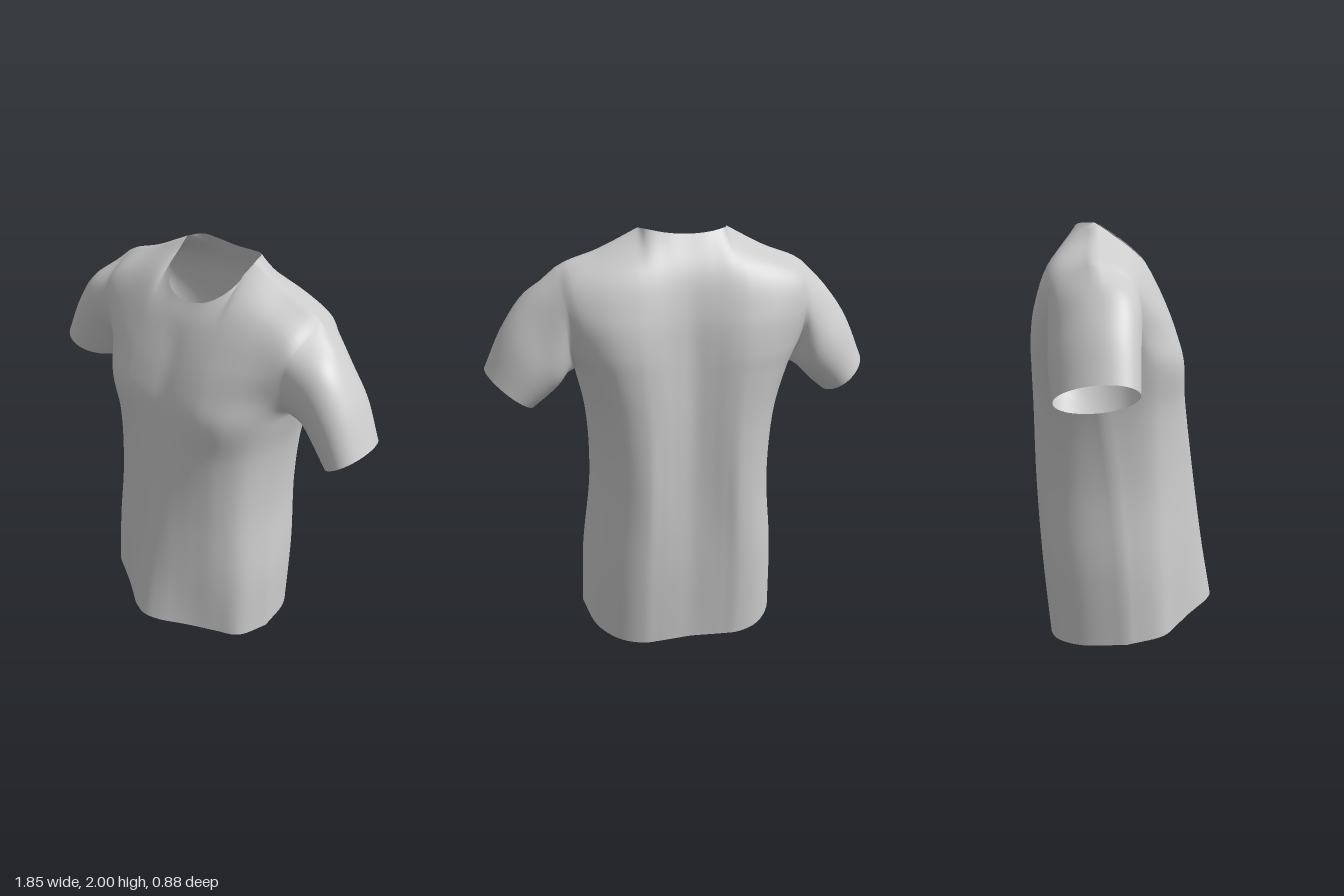
import * as THREE from 'three';
import { mergeGeometries, mergeVertices } from 'three/addons/utils/BufferGeometryUtils.js';

const SEG = 6;                 // subdivisions per control span
const ARMPIT = 4, TOP = 8;     // control row numbers
const NECK = 3, EDGE = 6;      // control column numbers
const V = (x, y, z) => new THREE.Vector3(x, y, z);
const flip = (p) => V(-p.x, p.y, p.z);
const spline = (pts, n = (pts.length - 1) * SEG) => new THREE.CatmullRomCurve3(pts).getPoints(n);

// Column positions as fractions of the half width, centre to side seam
const FR = [0, 0.17, 0.33, 0.48, 0.7, 0.9, 1];
const hemY = (z) => 0.05 + 0.135 * z;

// One control row: half width (or x list), height (number, list or rule), depths
function row(w, y, zs) {
  return zs.map((z, i) => V(
    Array.isArray(w) ? w[i] : w * FR[i],
    typeof y === 'function' ? y(z) : Array.isArray(y) ? y[i] : y, z));
}

const FRONT = [
  row(0.5, hemY, [0.44, 0.415, 0.365, 0.317, 0.255, 0.19, 0.02]),
  row(0.49, 0.4, [0.39, 0.373, 0.34, 0.305, 0.25, 0.17, 0]),
  row(0.45, 0.8, [0.335, 0.328, 0.308, 0.283, 0.235, 0.15, -0.04]),
  row(0.465, 1.15, [0.293, 0.292, 0.285, 0.27, 0.225, 0.13, -0.09]),
  row(0.51, 1.36, [0.272, 0.278, 0.28, 0.274, 0.235, 0.125, -0.12]),
  row(0.535, [1.49, 1.49, 1.49, 1.49, 1.49, 1.48, 1.47], [0.235, 0.242, 0.243, 0.235, 0.195, 0.115, 0.05]),
  row(0.55, 1.63, [0.18, 0.187, 0.187, 0.177, 0.15, 0.11, 0.085]),
  row([0, 0.1, 0.185, 0.24, 0.4, 0.52, 0.57], [1.74, 1.75, 1.785, 1.85, 1.82, 1.775, 1.73],
    [0.135, 0.13, 0.105, 0.055, 0.035, 0.04, 0.05]),
  row([0, 0.11, 0.187, 0.207, 0.39, 0.53, 0.585], [1.82, 1.842, 1.905, 2, 1.91, 1.86, 1.83],
    [0.09, 0.072, 0.0, -0.14, -0.13, -0.125, -0.12]),
];

const BACK = [
  row(0.5, hemY, [-0.36, -0.365, -0.37, -0.37, -0.325, -0.2, 0.02]),
  row(0.49, 0.4, [-0.383, -0.392, -0.402, -0.407, -0.36, -0.22, 0]),
  row(0.45, 0.8, [-0.388, -0.4, -0.42, -0.432, -0.385, -0.25, -0.04]),
  row(0.465, 1.15, [-0.39, -0.406, -0.428, -0.437, -0.4, -0.28, -0.09]),
  row(0.51, 1.36, [-0.386, -0.405, -0.43, -0.439, -0.41, -0.315, -0.12]),
  row(0.535, 1.47, [-0.383, -0.402, -0.427, -0.437, -0.415, -0.345, -0.26]),
  row(0.55, 1.63, [-0.375, -0.388, -0.405, -0.412, -0.4, -0.36, -0.32]),
  row([0, 0.1, 0.185, 0.25, 0.4, 0.52, 0.57], [1.82, 1.82, 1.83, 1.84, 1.82, 1.775, 1.73],
    [-0.335, -0.34, -0.343, -0.335, -0.318, -0.3, -0.28]),
  row([0, 0.1, 0.175, 0.207, 0.39, 0.53, 0.585], [1.978, 1.985, 1.998, 2, 1.91, 1.86, 1.83],
    [-0.246, -0.241, -0.212, -0.14, -0.13, -0.125, -0.12]),
];

// Armhole half: the side edge of a panel from armpit to shoulder point
const armhole = (panel) => spline(panel.slice(ARMPIT).map((r) => r[EDGE]));

// Grid of points to an indexed surface
function surface(rows, reversed) {
  const n = rows[0].length, index = [];
  for (let r = 0; r < rows.length - 1; r++) {
    for (let c = 0; c < n - 1; c++) {
      const a = r * n + c, b = a + 1, d = a + n, e = d + 1;
      if (reversed) index.push(a, d, b, b, d, e);
      else index.push(a, b, d, b, e, d);
    }
  }
  const g = new THREE.BufferGeometry().setFromPoints(rows.flat());
  g.setIndex(index);
  return g;
}

// Front or back panel, sharing side seams and shoulder seams with the other
function panelSurface(panel, reversed) {
  const columns = FR.map((_, i) => spline(panel.map((r) => r[i])));
  columns[EDGE] = [
    ...spline(panel.slice(0, ARMPIT + 1).map((r) => r[EDGE])),
    ...armhole(panel).slice(1),
  ];
  const mirrored = (half) => [...half.slice(1).reverse().map(flip), ...half];
  const rows = columns[0].map((_, k) => {
    const half = columns.map((c) => c[k]);
    if (k < TOP * SEG) return spline(mirrored(half));
    // top row: neckline with a corner at each shoulder seam
    const shoulder = spline(half.slice(NECK)).slice(1);
    const neckline = spline(mirrored(half.slice(0, NECK + 1)));
    return [...shoulder.map(flip).reverse(), ...neckline, ...shoulder];
  });
  return surface(rows, reversed);
}

// Sleeve stations: top x, y, bottom x, y, front z, back z
const SLEEVE = [
  [0.715, 1.71, 0.58, 1.325, 0.085, -0.315],
  [0.825, 1.565, 0.64, 1.265, 0.083, -0.305],
  [0.923, 1.36, 0.712, 1.205, 0.083, -0.28],
];

// Sleeve from the armhole loop out to the cuff, its section leaning backwards
function sleeveSurface(side) {
  const loop = [...armhole(FRONT), ...armhole(BACK).reverse().slice(1)];
  const n = loop.length - 1;
  const strips = loop.map((p, j) => {
    const a = (j / n) * Math.PI * 2, s = Math.sin(a), c = Math.cos(a) - 0.2 * s;
    const stations = SLEEVE.map(([tx, ty, bx, by, zf, zb]) => V(
      (tx + bx) / 2 + (bx - tx) / 2 * c,
      (ty + by) / 2 + (by - ty) / 2 * c,
      (zf + zb) / 2 + (zf - zb) / 2 * s - 0.02 * Math.cos(a)));
    return spline([p, ...stations]);
  });
  const rows = strips[0].map((_, k) => strips.map((st) => (side > 0 ? st[k] : flip(st[k]))));
  return surface(rows, side > 0);
}

export function createModel() {
  const cloth = new THREE.MeshStandardMaterial({ color: 0xcccccc, side: THREE.DoubleSide });
  cloth.name = 'light grey cloth';

  const parts = {
    frontPanel: panelSurface(FRONT, false),
    backPanel: panelSurface(BACK, true),
    leftSleeve: sleeveSurface(1),
    rightSleeve: sleeveSurface(-1),
  };

  // Weld the seams so the shading runs smoothly from part to part
  const welded = mergeVertices(mergeGeometries(Object.values(parts)), 1e-4);
  welded.computeVertexNormals();

  const shirt = new THREE.Group();
  shirt.name = 'shirt';
  let start = 0;
  for (const [name, part] of Object.entries(parts)) {
    const count = part.index.count;
    const g = new THREE.BufferGeometry();
    g.setAttribute('position', welded.attributes.position);
    g.setAttribute('normal', welded.attributes.normal);
    g.setIndex(Array.from(welded.index.array.slice(start, start + count)));
    start += count;
    const mesh = new THREE.Mesh(g, cloth);
    mesh.name = name;
    shirt.add(mesh);
  }
  return shirt;
}
